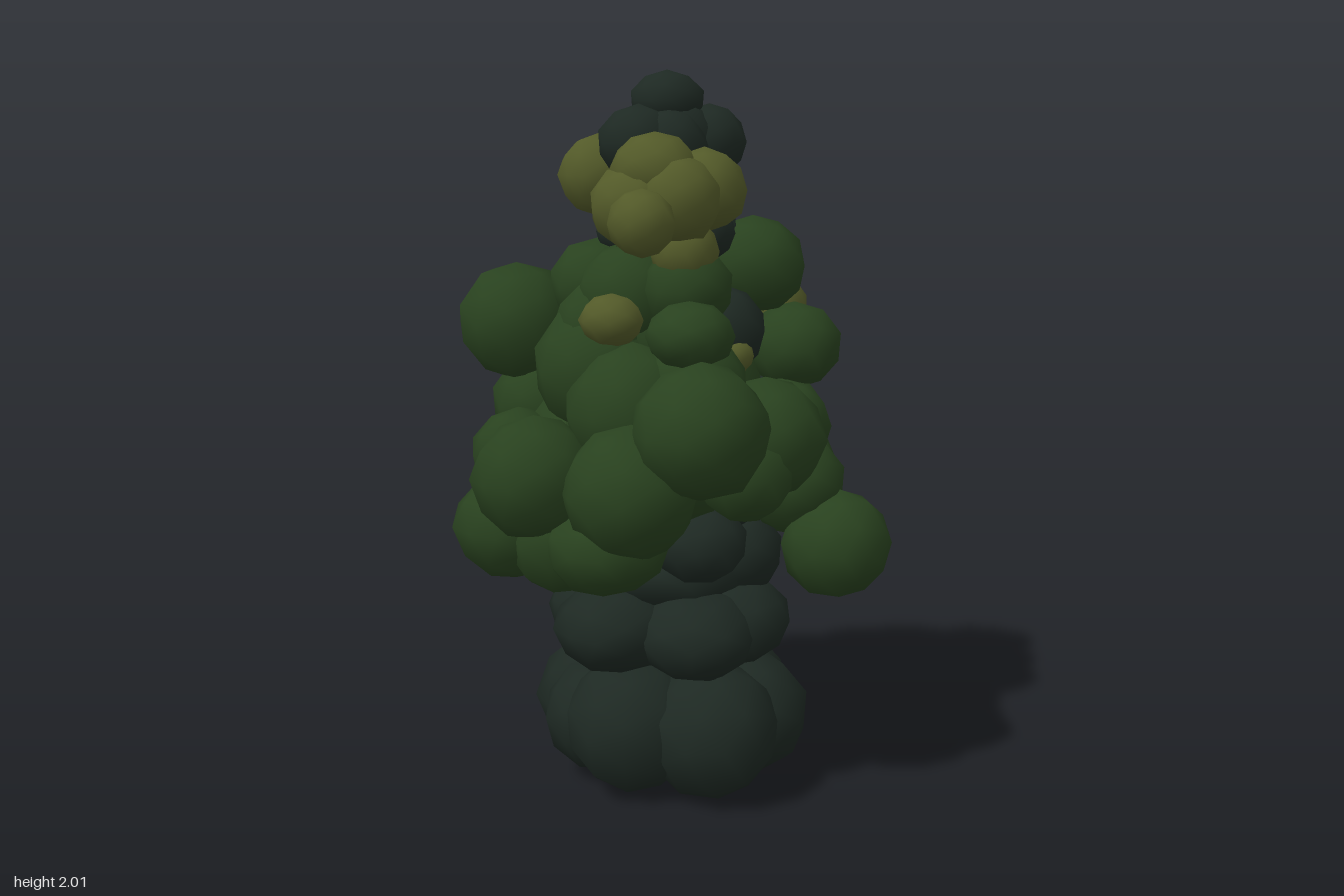
import * as THREE from 'three';
import { mergeVertices } from 'three/addons/utils/BufferGeometryUtils.js';

// Each foliage puff: [x, y, z, radius, optional vertical radius]
const BASE_TIER = [
  [-0.19, 0.19, 0.11, 0.18], [0.05, 0.19, 0.18, 0.19], [0.23, 0.19, 0.04, 0.19],
  [0.19, 0.19, -0.13, 0.175], [0.02, 0.19, -0.19, 0.19], [-0.17, 0.19, -0.11, 0.185],
  [-0.08, 0.18, 0.18, 0.17, 0.16], [0, 0.19, 0, 0.22, 0.16],
];
const SECOND_TIER = [
  [-0.16, 0.47, 0.11, 0.165, 0.125], [0.0, 0.47, 0.20, 0.17, 0.13], [0.18, 0.46, 0.06, 0.17, 0.125],
  [0.16, 0.47, -0.09, 0.17, 0.125], [0.02, 0.46, -0.17, 0.17, 0.125], [-0.15, 0.47, -0.10, 0.17, 0.125],
  [0, 0.47, 0, 0.2, 0.13],
];
const INNER_CORE = [
  [-0.10, 0.68, 0.08, 0.15], [0.20, 0.73, 0.06, 0.13, 0.11], [0.14, 0.66, -0.13, 0.13],
  [-0.13, 0.72, -0.15, 0.16], [0, 0.61, 0, 0.24, 0.12], [0.05, 0.90, -0.10, 0.22],
  [0.17, 1.31, -0.04, 0.12], [0.12, 1.07, -0.21, 0.14], [0, 1.40, 0, 0.14],
];
const LOWER_CROWN = [
  // front
  [0.0, 0.94, 0.47, 0.165], [0.26, 0.93, 0.35, 0.175], [0.17, 0.77, 0.36, 0.16, 0.13],
  [-0.14, 0.78, 0.44, 0.165, 0.15], [-0.23, 0.95, 0.36, 0.13], [0.0, 0.76, 0.38, 0.15],
  // right-hand side of the model
  [-0.33, 0.76, 0.26, 0.15], [-0.44, 0.78, 0.12, 0.155], [-0.38, 0.91, 0.10, 0.14],
  [-0.40, 0.82, -0.27, 0.165],
  // left-hand side of the model
  [0.42, 0.72, -0.25, 0.15], [0.38, 0.96, 0.06, 0.13], [0.30, 0.88, -0.20, 0.14],
  // back
  [-0.04, 0.82, -0.46, 0.18], [-0.08, 0.98, -0.40, 0.145], [0.14, 0.83, -0.33, 0.15],
  // filling
  [-0.12, 0.92, 0.10, 0.28], [0.10, 0.99, 0.14, 0.25, 0.22], [-0.13, 0.98, -0.13, 0.22],
];
const MIDDLE_CROWN = [
  [-0.37, 1.30, 0.26, 0.165], [0.41, 1.10, 0.24, 0.175], [0.36, 1.04, -0.03, 0.16],
  [-0.33, 1.06, 0.20, 0.145], [-0.05, 1.20, 0.21, 0.18], [0.12, 1.11, 0.23, 0.18],
  [-0.30, 1.14, -0.24, 0.16], [-0.28, 1.15, 0.0, 0.16], [0.24, 1.18, 0.12, 0.14],
  [0.23, 1.25, -0.26, 0.13, 0.12], [-0.05, 1.15, -0.26, 0.15], [0.27, 1.04, -0.18, 0.13],
  [0, 1.12, 0, 0.26],
];
const UPPER_CROWN = [
  [0.27, 1.32, 0.16, 0.115, 0.09], [-0.19, 1.41, 0.10, 0.14, 0.13], [0.0, 1.40, 0.14, 0.145],
  [0.17, 1.43, 0.08, 0.12], [0.12, 1.47, -0.20, 0.145, 0.135], [-0.20, 1.35, -0.18, 0.17],
  [-0.08, 1.44, -0.08, 0.15], [-0.05, 1.30, 0.18, 0.15], [0, 1.30, 0, 0.22],
];
const NECK = [
  [-0.13, 1.56, 0.03, 0.10, 0.08], [0.02, 1.57, 0.09, 0.10, 0.08], [0.12, 1.57, -0.01, 0.09, 0.08],
  [0.04, 1.56, -0.09, 0.10, 0.08], [-0.08, 1.57, -0.06, 0.10, 0.08], [0, 1.58, 0, 0.11, 0.08],
];
const OLIVE_PUFFS = [
  [-0.16, 1.71, 0.02, 0.11, 0.10], [-0.15, 1.72, 0.13, 0.11], [0.13, 1.74, 0.16, 0.115, 0.10],
  [0.11, 1.65, 0.21, 0.12, 0.11], [0.19, 1.69, 0.04, 0.11], [0.20, 1.67, 0.14, 0.115],
  [0.26, 1.62, 0.31, 0.085], [0.18, 1.53, 0.10, 0.09], [0.07, 1.35, 0.26, 0.085, 0.07],
  [0.11, 1.34, -0.28, 0.105], [0.16, 1.26, -0.26, 0.09], [0.0, 1.44, -0.18, 0.09],
  [0.25, 1.25, -0.02, 0.05],
];
const TIP = [
  [-0.06, 1.81, 0.05, 0.10], [0.0, 1.81, 0.11, 0.11, 0.10], [0.06, 1.80, 0.05, 0.10],
  [0.06, 1.81, -0.09, 0.10], [-0.05, 1.80, -0.05, 0.10], [0, 1.82, 0, 0.13, 0.11],
  [0, 1.92, 0.01, 0.10, 0.08],
];

// Low-poly, slightly uneven puff with smooth normals
function makePuff() {
  const ball = new THREE.IcosahedronGeometry(1, 1);
  ball.deleteAttribute('normal');
  ball.deleteAttribute('uv');
  const geometry = mergeVertices(ball);
  const pos = geometry.attributes.position;
  const v = new THREE.Vector3();
  for (let i = 0; i < pos.count; i++) {
    v.fromBufferAttribute(pos, i);
    v.multiplyScalar(1.03 + 0.04 * Math.sin(5 * v.x + 3 * v.y) * Math.cos(4 * v.z - 2 * v.y));
    pos.setXYZ(i, v.x, v.y, v.z);
  }
  geometry.computeVertexNormals();
  return geometry;
}
const puffGeometry = makePuff();

function addTier(parent, name, puffs, material) {
  const tier = new THREE.Group();
  tier.name = name;
  puffs.forEach(([x, y, z, r, ry = r], i) => {
    const puff = new THREE.Mesh(puffGeometry, material);
    puff.name = name + 'Puff';
    puff.position.set(x, y, z);
    puff.scale.set(r, ry, r);
    puff.rotation.y = i * 2.4 + y * 5;
    tier.add(puff);
  });
  parent.add(tier);
}

export function createModel() {
  const mat = (name, color) => {
    const m = new THREE.MeshStandardMaterial({ color });
    m.name = name;
    return m;
  };
  const dark = mat('dark foliage', 0x1e2923);
  const green = mat('green foliage', 0x29421f);
  const olive = mat('olive foliage', 0x535a29);

  const model = new THREE.Group();
  model.name = 'layeredTree';
  addTier(model, 'baseTier', BASE_TIER, dark);
  addTier(model, 'secondTier', SECOND_TIER, dark);
  addTier(model, 'innerCore', INNER_CORE, dark);
  addTier(model, 'lowerCrown', LOWER_CROWN, green);
  addTier(model, 'middleCrown', MIDDLE_CROWN, green);
  addTier(model, 'upperCrown', UPPER_CROWN, green);
  addTier(model, 'neck', NECK, dark);
  addTier(model, 'olivePuffs', OLIVE_PUFFS, olive);
  addTier(model, 'tip', TIP, dark);

  // Small leaves spread flat under the base
  for (let i = 0; i < 5; i++) {
    const leaf = new THREE.Mesh(puffGeometry, green);
    const a = i * 1.26;
    leaf.name = 'groundLeaf';
    leaf.position.set(0.06 + 0.09 * Math.cos(a), 0.025, 0.09 * Math.sin(a));
    leaf.scale.set(0.07, 0.012, 0.03);
    leaf.rotation.y = -a;
    model.add(leaf);
  }
  return model;
}
